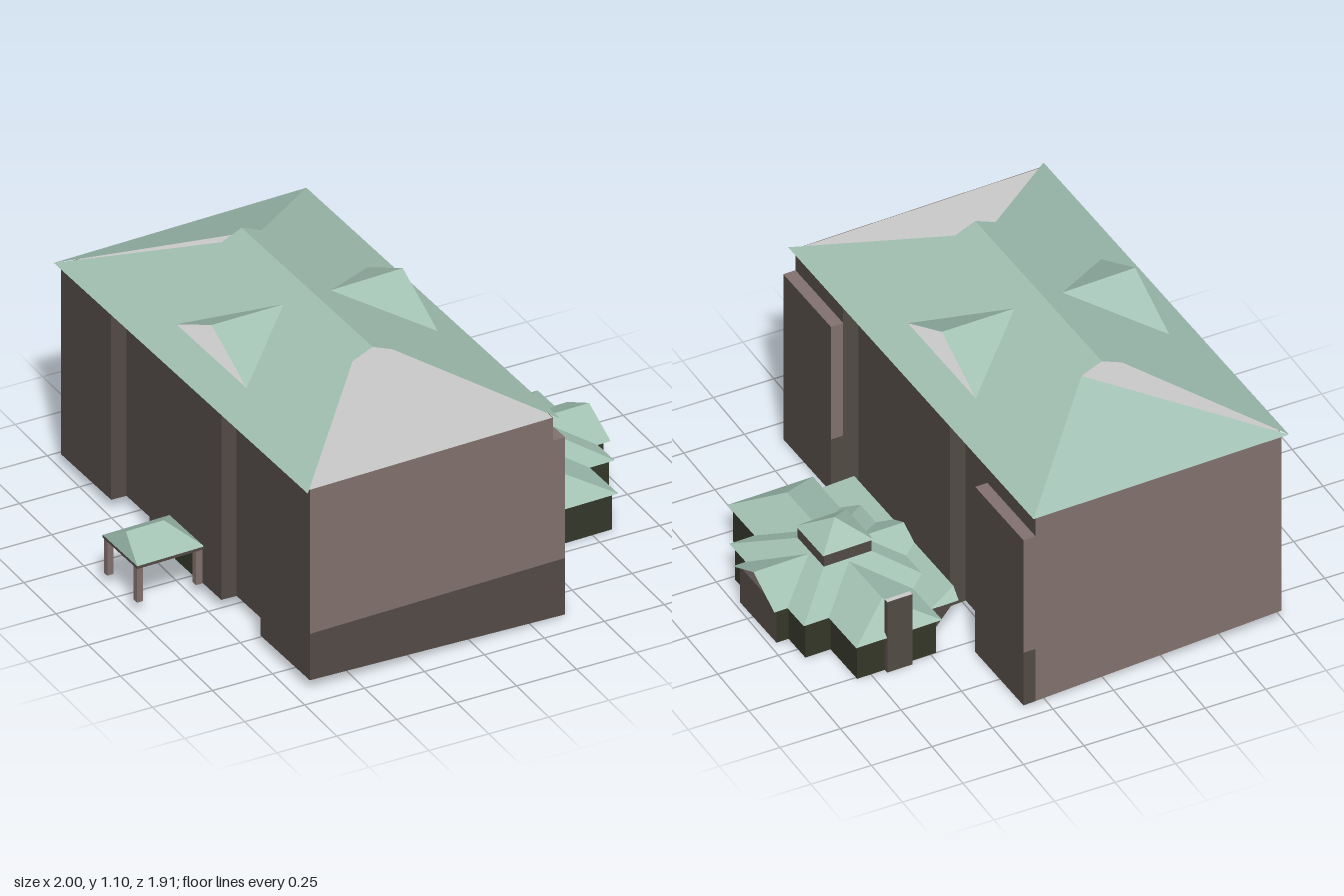
import * as THREE from 'three';

const TILT = 0.027; // slight turn of the whole site plan

const mat = (name, color) =>
  new THREE.MeshStandardMaterial({ name, color, side: THREE.DoubleSide, flatShading: true });

export function createModel() {
  const roofMat = mat('verdigrisRoof', 0xa0bfb1);
  const brown = mat('brownWall', 0x83736f);
  const dark = mat('darkBrownWall', 0x544c47);
  const olive = mat('oliveWall', 0x35382a);
  const grey = mat('greyCeiling', 0xcccccc);

  const model = new THREE.Group();
  model.name = 'hippedHall';

  const group = (name, x, z) => {
    const g = new THREE.Group();
    g.name = name;
    g.position.set(x, 0, z);
    g.rotation.y = TILT;
    model.add(g);
    return g;
  };
  const add = (parent, name, geometry, material) => {
    const m = new THREE.Mesh(geometry, material);
    m.name = name;
    parent.add(m);
    return m;
  };
  // flat convex polygons, each a loop of [x, y, z] corners
  const faces = (parent, name, polys, material) => {
    const pos = [];
    for (const p of polys)
      for (let i = 1; i < p.length - 1; i++) pos.push(...p[0], ...p[i], ...p[i + 1]);
    const g = new THREE.BufferGeometry();
    g.setAttribute('position', new THREE.Float32BufferAttribute(pos, 3));
    g.computeVertexNormals();
    return add(parent, name, g, material);
  };
  const box = (parent, name, x0, x1, y0, y1, z0, z1, material) => {
    const g = new THREE.BoxGeometry(x1 - x0, y1 - y0, z1 - z0);
    g.translate((x0 + x1) / 2, (y0 + y1) / 2, (z0 + z1) / 2);
    return add(parent, name, g, material);
  };
  // upright wall quad between two plan points
  const wall = (a, b, top, bottom) => [
    [a[0], bottom(a[0]), a[1]], [b[0], bottom(b[0]), b[1]],
    [b[0], top(b[0]), b[1]], [a[0], top(a[0]), a[1]],
  ];
  // roof over a rectangle, with ridge ends A (towards -z or -x) and B
  const hipRoof = (parent, name, [x0, x1, z0, z1], eave, A, B, alongX, open = false) => {
    let c = [[x0, eave, z0], [x1, eave, z0], [x1, eave, z1], [x0, eave, z1]];
    if (alongX) c = [c[3], c[0], c[1], c[2]];
    const polys = [[c[1], c[2], B, A], [c[3], c[0], A, B]];
    if (!open) polys.push([c[0], c[1], A], [c[2], c[3], B]);
    return faces(parent, name, polys, roofMat);
  };

  // ---------- main hall ----------
  const hall = group('mainHall', -0.2, -0.005);
  const EAVE = 0.87, W = 0.515, R = 0.45, L = 0.92;
  const ground = (x) => 0.03 - 0.04 * x;
  const at = (y) => () => y;

  const sides = [];
  for (const s of [-1, 1]) {
    // end bays and centre bay stand proud of two recessed bays
    const plan = [[W, -L], [W, -0.55], [R, -0.55], [R, -0.265], [W, -0.265],
      [W, 0.265], [R, 0.265], [R, 0.555], [W, 0.555], [W, L]].map(([x, z]) => [s * x, z]);
    for (let i = 0; i < plan.length - 1; i++)
      sides.push(wall(plan[i], plan[i + 1], at(EAVE), ground));
  }
  faces(hall, 'sideWalls', sides, dark);
  faces(hall, 'frontWall', [wall([-W, L], [W, L], at(EAVE), at(0.25))], brown);
  faces(hall, 'frontPlinth', [wall([-W, L], [W, L], at(0.25), ground)], dark);
  faces(hall, 'backWall', [wall([W, -L], [-W, -L], at(EAVE), ground)], brown);
  faces(hall, 'ceiling', [[[-W, 0.868, L], [W, 0.868, L], [W, 0.868, -L], [-W, 0.868, -L]]], grey);

  // lower projecting bays on the left side
  const P = 0.566;
  for (const [z0, z1, name] of [[0.555, L, 'frontBay'], [-L, -0.55, 'backBay']]) {
    faces(hall, name + 'Side', [wall([P, z1], [P, z0], at(0.77), ground)], dark);
    faces(hall, name + 'Top', [[[W, 0.77, z1], [P, 0.77, z1], [P, 0.77, z0], [W, 0.77, z0]]], brown);
    faces(hall, name + 'Ends', [z0, z1].map((z) => wall([W, z], [P, z], at(0.77), at(0.25))), brown);
    faces(hall, name + 'Plinth', [z0, z1].map((z) => wall([W, z], [P, z], at(0.25), ground)), dark);
  }
  box(hall, 'sideDoor', -W - 0.004, -W + 0.004, 0.05, 0.19, -0.07, 0.07, olive);

  // main roof slopes, each with a triangular opening below its dormer
  const E = 0.535, Z = 0.94, G = 0.085, GZ = 0.485, RIDGE = 1.1;
  const slopeY = (x) => RIDGE - (RIDGE - EAVE) * Math.abs(x) / E;
  const DX = 0.405, DZ = 0.26, DI = 0.1;
  for (const s of [-1, 1]) {
    const v = (x, z) => new THREE.Vector2(s * x, z);
    const shape = new THREE.Shape([v(E, -Z), v(E, Z), v(G, GZ), v(0, GZ), v(0, -GZ), v(G, -GZ)]);
    shape.holes.push(new THREE.Path([v(DX, -DZ), v(DX, DZ), v(DI, 0)]));
    const g = new THREE.ShapeGeometry(shape);
    const p = g.attributes.position;
    for (let i = 0; i < p.count; i++) {
      const x = p.getX(i), z = p.getY(i);
      p.setXYZ(i, x, slopeY(x), z);
    }
    // reverse the corners so the slope faces up
    const idx = g.index;
    for (let i = 0; i < idx.count; i += 3) {
      const a = idx.getX(i);
      idx.setX(i, idx.getX(i + 1));
      idx.setX(i + 1, a);
    }
    g.computeVertexNormals();
    add(hall, s > 0 ? 'leftRoofSlope' : 'rightRoofSlope', g, roofMat);

    const peak = [s * DX, 1.06, 0], inner = [s * DI, slopeY(DI), 0];
    faces(hall, 'dormerRoof', [-1, 1].map((t) => [peak, [s * DX, slopeY(DX), t * DZ], inner]), roofMat);
  }
  faces(hall, 'backHip', [[[-E, EAVE, -Z], [G, slopeY(G), -GZ], [E, EAVE, -Z]]], roofMat);

  // ---------- pavilion ----------
  const pav = group('pavilion', 0.655, -0.03);
  const half = [[-0.165, 0.4], [-0.165, 0.475], [0.165, 0.475], [0.165, 0.27], [0.27, 0.27], [0.27, 0.14], [0.32, 0.14]];
  const pavWalls = [];
  for (const s of [-1, 1])
    for (let i = 0; i < half.length - 1; i++)
      pavWalls.push(wall([half[i][0], s * half[i][1]], [half[i + 1][0], s * half[i + 1][1]], at(0.16), at(0)));
  faces(pav, 'pavilionWalls', pavWalls, olive);
  faces(pav, 'entranceWall', [wall([0.32, 0.14], [0.32, -0.14], at(0.165), at(0))], dark);
  faces(pav, 'entranceGable', [[[0.32, 0.165, 0.14], [0.32, 0.165, -0.14], [0.32, 0.235, 0]]], brown);
  // tapering link walls to the hall
  faces(pav, 'linkWalls', [-1, 1].map((s) => [
    [-0.27, 0.16, s * 0.4], [-0.27, 0.13, s * 0.4], [-0.165, 0.005, s * 0.4], [-0.165, 0.16, s * 0.4]]), dark);

  hipRoof(pav, 'crossRoof', [-0.18, 0.18, -0.495, 0.495], 0.16, [0, 0.24, -0.365], [0, 0.24, 0.365]);
  hipRoof(pav, 'entranceRoof', [-0.29, 0.34, -0.16, 0.16], 0.16, [-0.29, 0.24, 0], [0.34, 0.24, 0], true, true);
  hipRoof(pav, 'centreRoof', [-0.285, 0.285, -0.285, 0.285], 0.16, [0, 0.29, 0], [0, 0.29, 0]);
  hipRoof(pav, 'linkRoof', [-0.29, -0.17, -0.42, 0.42], 0.16, [-0.29, 0.2, -0.38], [-0.29, 0.2, 0.38]);

  box(pav, 'cupola', -0.1, 0.1, 0.22, 0.298, -0.1, 0.1, dark);
  hipRoof(pav, 'cupolaRoof', [-0.106, 0.106, -0.106, 0.106], 0.298, [0, 0.37, 0], [0, 0.37, 0]);
  box(pav, 'chimney', -0.055, 0.05, 0, 0.325, -0.495, -0.475, [dark, dark, grey, dark, dark, dark]);

  // ---------- porch canopy ----------
  const porch = group('porch', -0.86, 0.018);
  hipRoof(porch, 'porchRoof', [-0.135, 0.15, -0.128, 0.128], 0.21, [-0.11, 0.285, 0], [0.05, 0.285, 0], true);
  box(porch, 'porchBeam', -0.135, 0.15, 0.198, 0.21, -0.128, 0.128, dark);
  for (const x of [-0.12, 0.13])
    for (const z of [-0.11, 0.11])
      box(porch, 'porchPost', x - 0.013, x + 0.013, 0.05, 0.2, z - 0.013, z + 0.013, brown);

  return model;
}
